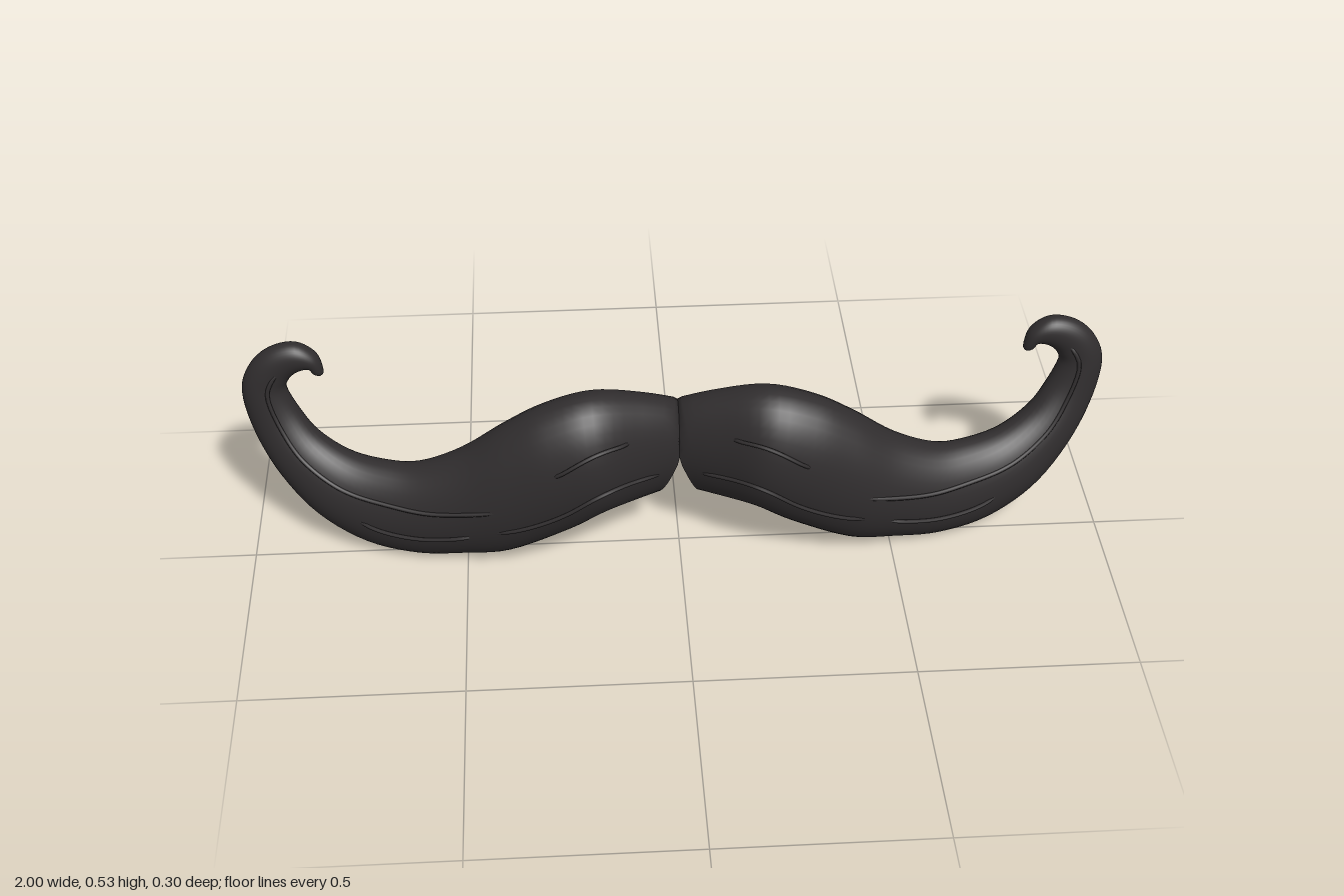
import * as THREE from 'three';

// Sections of one half, centre to curled tip: upper x,y, lower x,y, z centre, half depth
const SECTIONS = [
  [-0.04, 0.36, 0.05, 0.125, -0.045, 0.076],
  [0.08, 0.42, 0.11, 0.135, 0, 0.085],
  [0.20, 0.457, 0.175, 0.14, 0.04, 0.1],
  [0.31, 0.43, 0.26, 0.095, 0.045, 0.1],
  [0.40, 0.375, 0.40, 0.03, 0.035, 0.092],
  [0.50, 0.295, 0.51, 0.01, 0.015, 0.085],
  [0.60, 0.245, 0.62, 0, -0.005, 0.078],
  [0.68, 0.235, 0.74, 0.02, -0.03, 0.072],
  [0.76, 0.245, 0.85, 0.085, -0.058, 0.066],
  [0.83, 0.285, 0.93, 0.18, -0.087, 0.057],
  [0.87, 0.34, 0.98, 0.29, -0.105, 0.045],
  [0.895, 0.40, 0.998, 0.40, -0.111, 0.038],
  [0.888, 0.428, 0.973, 0.47, -0.111, 0.035],
  [0.873, 0.445, 0.925, 0.513, -0.11, 0.033],
  [0.855, 0.455, 0.866, 0.525, -0.108, 0.03],
  [0.84, 0.457, 0.82, 0.495, -0.107, 0.024],
  [0.832, 0.445, 0.807, 0.45, -0.106, 0.015],
  [0.816, 0.436, 0.815, 0.436, -0.105, 0.001],
];
const LAST = SECTIONS.length - 1;
const upper = new THREE.CatmullRomCurve3(
  SECTIONS.map(s => new THREE.Vector3(s[0], s[1], s[4])), false, 'catmullrom', 0.5);
const lower = new THREE.CatmullRomCurve3(
  SECTIONS.map(s => new THREE.Vector3(s[2], s[3], s[5])), false, 'catmullrom', 0.5);

// Point on the skin: t counts sections, angle runs from the top over the front
function skin(t, angle, side) {
  const u = upper.getPoint(t / LAST);
  const l = lower.getPoint(t / LAST);
  const k = (1 + Math.cos(angle)) / 2;
  const x = Math.max(0, l.x + (u.x - l.x) * k);
  return new THREE.Vector3(side * x, l.y + (u.y - l.y) * k, u.z + l.z * Math.sin(angle));
}

function halfGeometry(side) {
  const around = 36, along = LAST * 5;
  const pos = [], index = [];
  const tri = (a, b, c) => (side > 0 ? index.push(a, b, c) : index.push(a, c, b));
  for (let i = 0; i <= along; i++) {
    for (let j = 0; j < around; j++) {
      pos.push(...skin(i / along * LAST, j / around * Math.PI * 2, side).toArray());
    }
  }
  for (let i = 0; i < along; i++) {
    for (let j = 0; j < around; j++) {
      const a = i * around + j, b = i * around + (j + 1) % around;
      tri(a, b, a + around);
      tri(b, b + around, a + around);
    }
  }
  // Inner end cap, with its own vertices for a crisp rim
  const first = pos.length / 3;
  pos.push(...pos.slice(0, around * 3));
  for (let j = 1; j < around - 1; j++) tri(first, first + j + 1, first + j);
  const geo = new THREE.BufferGeometry();
  geo.setAttribute('position', new THREE.Float32BufferAttribute(pos, 3));
  geo.setIndex(index);
  geo.computeVertexNormals();
  return geo;
}

// Hair strands lying on the front: [section, share of the way from top to bottom]
const STRANDS = [
  [[1.3, 0.27], [2, 0.31], [3, 0.38]],
  [[0.4, 0.6], [1.2, 0.63], [2.2, 0.68], [3.2, 0.72], [4.3, 0.68]],
  [[4.2, 0.5], [5.2, 0.4], [6.5, 0.3], [8, 0.32], [9.5, 0.38], [11, 0.4], [12.5, 0.4]],
  [[4.8, 0.68], [6, 0.64], [7.3, 0.62]],
];

function strandGeometry(points, side) {
  const guide = new THREE.CatmullRomCurve3(points.map(([t, v]) => new THREE.Vector3(t, v, 0)));
  const path = [];
  for (let i = 0; i <= 24; i++) {
    const p = guide.getPoint(i / 24);
    const q = skin(p.x, Math.acos(1 - 2 * p.y), side);
    q.z += 0.003 - 0.01 * Math.pow(Math.abs(i / 12 - 1), 8); // ends sink into the skin
    path.push(q);
  }
  return new THREE.TubeGeometry(new THREE.CatmullRomCurve3(path), 60, 0.005, 6, false);
}

export function createModel() {
  const model = new THREE.Group();
  model.name = 'moustache';
  const hair = new THREE.MeshStandardMaterial({ color: 0x302d2e });
  for (const side of [1, -1]) {
    const half = new THREE.Group();
    half.name = side > 0 ? 'leftHalf' : 'rightHalf';
    const body = new THREE.Mesh(halfGeometry(side), hair);
    body.name = 'curledBody';
    half.add(body);
    STRANDS.forEach((points, i) => {
      const strand = new THREE.Mesh(strandGeometry(points, side), hair);
      strand.name = 'hairStrand' + (i + 1);
      half.add(strand);
    });
    model.add(half);
  }
  return model;
}
